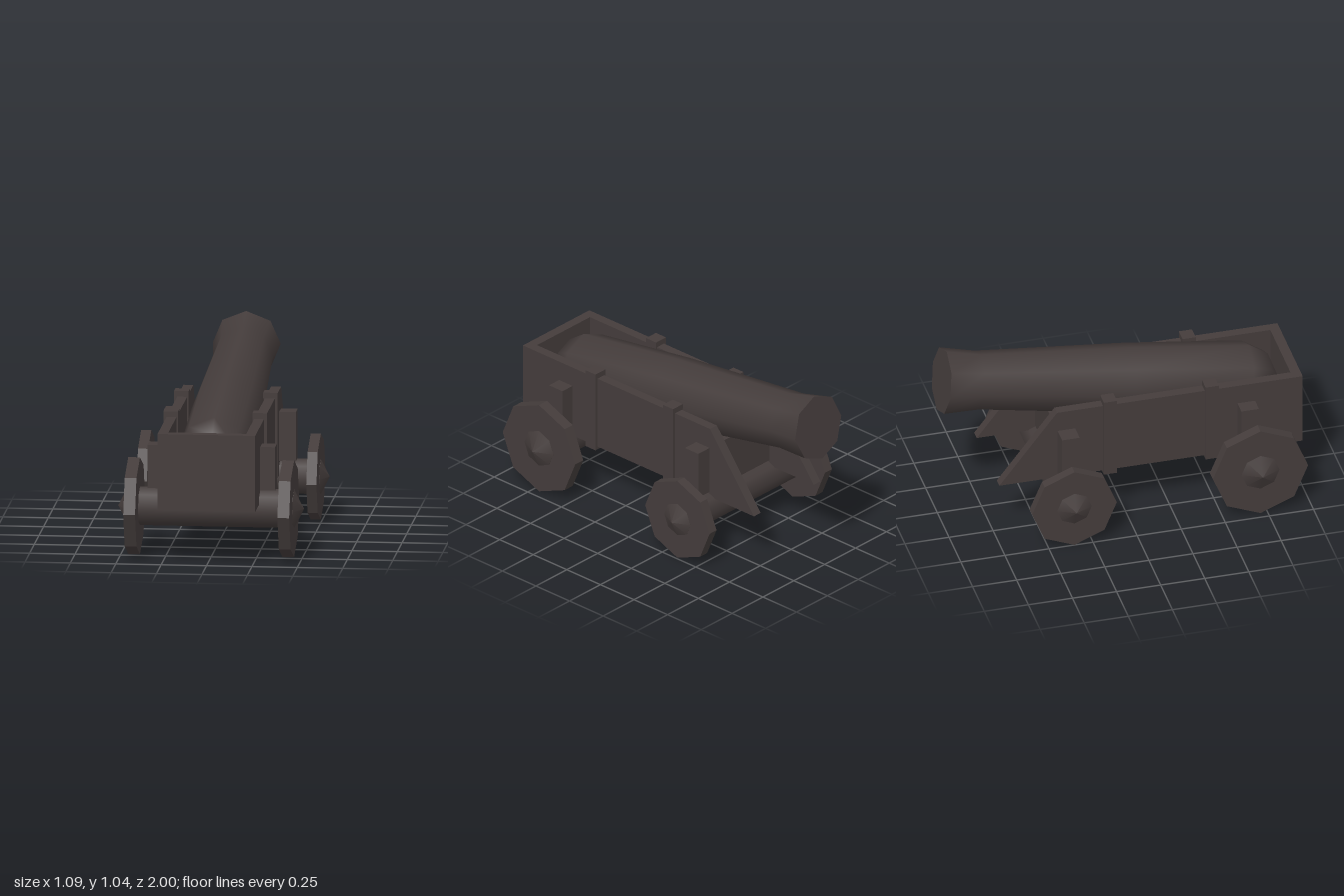
import * as THREE from 'three';

const iron = new THREE.MeshStandardMaterial({ color: 0x443c3b });
iron.name = 'dark iron';

export function createModel() {
  const model = new THREE.Group();
  model.name = 'cannon';

  const add = (name, geometry, parent = model) => {
    const mesh = new THREE.Mesh(geometry, iron);
    mesh.name = name;
    parent.add(mesh);
    return mesh;
  };
  // box given by its lower and upper limits
  const box = (name, x0, x1, y0, y1, z0, z1) => {
    const mesh = add(name, new THREE.BoxGeometry(x1 - x0, y1 - y0, z1 - z0));
    mesh.position.set((x0 + x1) / 2, (y0 + y1) / 2, (z0 + z1) / 2);
  };

  // carriage: two side walls with a slanted end, and an end wall
  const side = new THREE.Shape([
    [-0.945, 0.305], [0.72, 0.305], [0.393, 0.73], [-0.945, 0.73],
  ].map(([x, y]) => new THREE.Vector2(x, y)));
  const sideGeometry = new THREE.ExtrudeGeometry(side, { depth: 0.055, bevelEnabled: false });
  sideGeometry.rotateY(Math.PI / 2);
  for (const [name, x] of [['leftWall', 0.213], ['rightWall', -0.27]]) {
    add(name, sideGeometry).position.x = x;
  }
  box('endWall', -0.27, 0.268, 0.305, 0.73, 0.945, 1);

  // straps wrapped around the side walls
  for (const z of [0.445, -0.132]) {
    box('leftStrap', 0.204, 0.284, 0.287, 0.762, z, z + 0.075);
    box('rightStrap', -0.287, -0.207, 0.287, 0.762, z, z + 0.075);
  }

  // crossbeams resting on the axles
  box('frontCrossbeam', -0.353, 0.35, 0.373, 0.615, 0.63, 0.73);
  box('rearCrossbeam', -0.366, 0.36, 0.335, 0.61, -0.39, -0.29);

  // wheel sets: eight-sided axle, wheels and pointed hubs
  const wheelSet = (name, z, wheelR, axleR, inner, outer, tip) => {
    const set = new THREE.Group();
    set.name = name;
    set.position.set(-0.004, wheelR, z);
    model.add(set);
    const axle = new THREE.CylinderGeometry(axleR, axleR, outer * 2 + 0.002, 8, 1, true);
    add('axle', axle.rotateZ(Math.PI / 2), set);
    for (const s of [1, -1]) {
      const disc = new THREE.CylinderGeometry(wheelR, wheelR, outer - inner, 8).toNonIndexed();
      disc.computeVertexNormals();
      add('wheel', disc.rotateZ(Math.PI / 2), set).position.x = s * (inner + outer) / 2;
      const hub = new THREE.ConeGeometry(axleR, tip - outer, 8, 1, true);
      add('hub', hub.rotateZ(-s * Math.PI / 2), set).position.x = s * (outer + tip) / 2;
    }
  };
  wheelSet('frontWheels', 0.71, 0.27, 0.108, 0.392, 0.457, 0.512);
  wheelSet('rearWheels', -0.355, 0.24, 0.098, 0.439, 0.495, 0.544);

  // barrel: tapered, flared at the muzzle, tilted upwards
  const barrel = new THREE.Group();
  barrel.name = 'barrel';
  barrel.position.set(0.02, 0.855, -0.97);
  barrel.rotation.x = -(Math.PI / 2 - 0.155);
  model.add(barrel);
  const profile = [
    [0, -1.928], [0.145, -1.849], [0.2, -1.734], [0.197, -1.063], [0.165, -0.2], [0.187, 0],
  ].map(([r, y]) => new THREE.Vector2(r, y));
  add('barrelBody', new THREE.LatheGeometry(profile, 8), barrel);
  add('muzzleCap', new THREE.CircleGeometry(0.187, 8).rotateX(-Math.PI / 2), barrel);

  return model;
}
